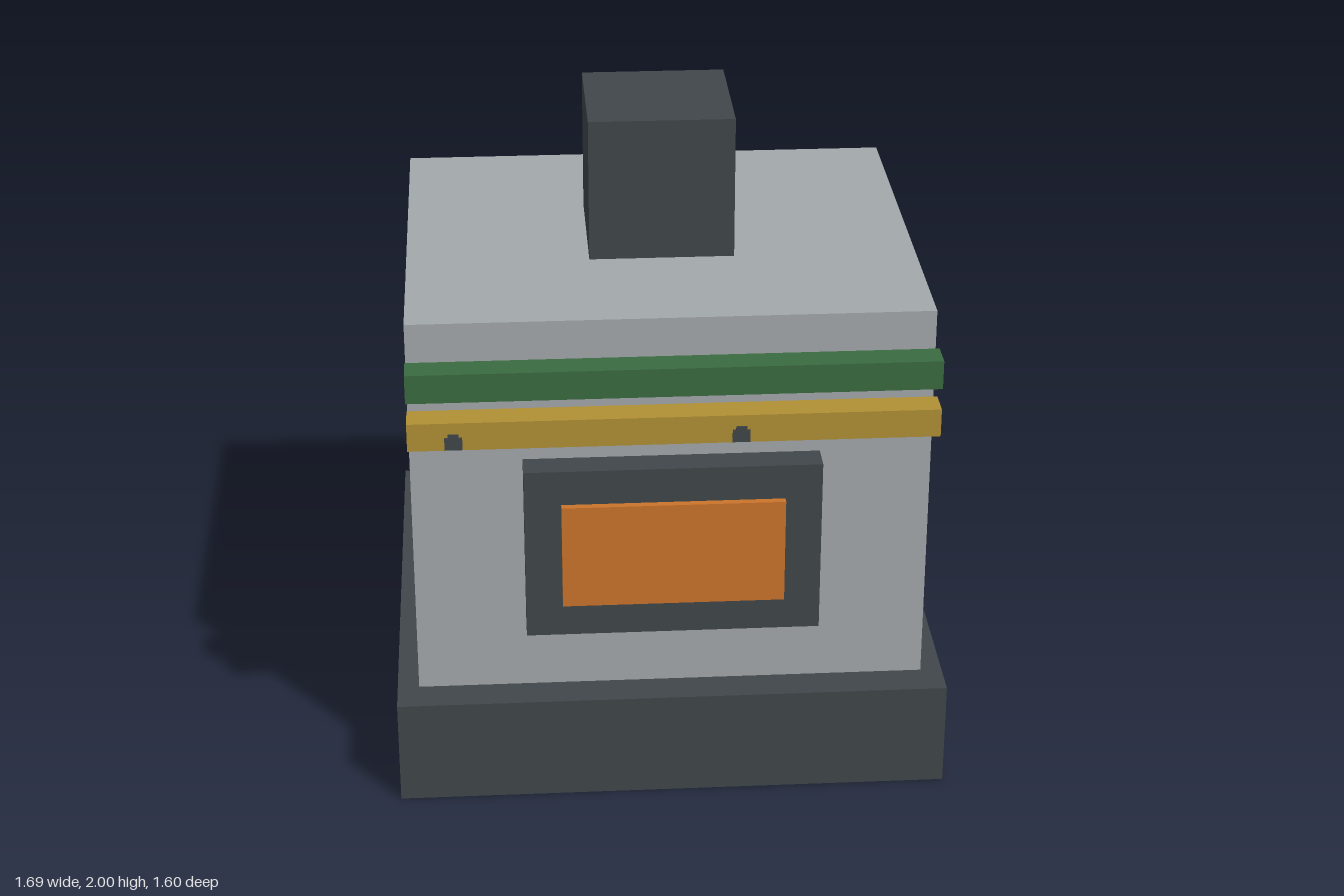
import * as THREE from 'three';

const mat = (name, color) => {
  const m = new THREE.MeshStandardMaterial({ color });
  m.name = name;
  return m;
};

export function createModel() {
  const group = new THREE.Group();
  const iron = mat('dark iron', 0x40464a);
  const stone = mat('grey stone', 0xa3a8aa);
  const green = mat('green', 0x3a6b40);
  const brass = mat('brass yellow', 0xb09035);
  const ember = mat('ember orange', 0xcb742b);

  // Box given by its extents on each axis
  const box = (name, material, [x0, x1], [y0, y1], [z0, z1]) => {
    const mesh = new THREE.Mesh(new THREE.BoxGeometry(x1 - x0, y1 - y0, z1 - z0), material);
    mesh.position.set((x0 + x1) / 2, (y0 + y1) / 2, (z0 + z1) / 2);
    mesh.name = name;
    group.add(mesh);
  };

  // Furnace body on its plinth, with the chimney on top
  box('base', iron, [-0.843, 0.843], [0, 0.333], [-0.8, 0.757]);
  box('body', stone, [-0.777, 0.777], [0.333, 1.557], [-0.687, 0.645]);
  box('chimney', iron, [-0.221, 0.221], [1.557, 2], [-0.243, 0.2]);

  // Fire door and glowing opening
  box('doorFrame', iron, [-0.443, 0.443], [0.557, 1.11], [0.645, 0.735]);
  box('fireWindow', ember, [-0.333, 0.333], [0.667, 1.0], [0.735, 0.757]);

  // Rails standing off the front
  box('upperRail', green, [-0.777, 0.777], [1.378, 1.467], [0.712, 0.8]);
  box('lowerRail', brass, [-0.777, 0.777], [1.225, 1.312], [0.712, 0.8]);

  // Small stepped marks on the lower rail
  for (const x of [-0.643, 0.193]) {
    box('railMark', iron, [x - 0.026, x + 0.026], [1.226, 1.266], [0.797, 0.802]);
    box('railMarkTip', iron, [x - 0.016, x + 0.016], [1.266, 1.277], [0.797, 0.802]);
  }
  return group;
}
